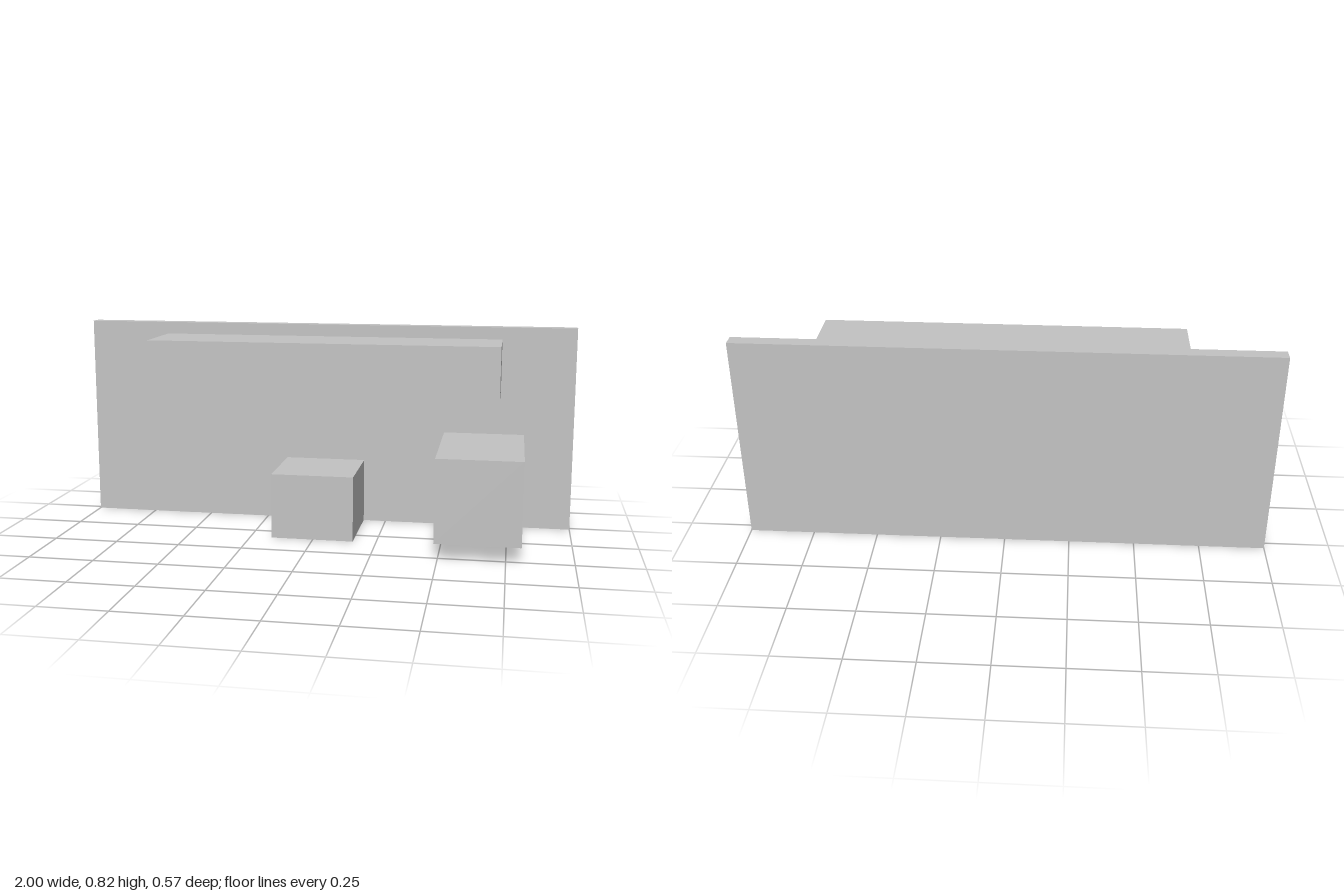
import * as THREE from 'three';

const grey = new THREE.MeshStandardMaterial({ color: 0xc3c3c3 });
grey.name = 'light grey';

// Box given by its extents along each axis
function block(name, [x0, x1], [y0, y1], [z0, z1]) {
  const mesh = new THREE.Mesh(new THREE.BoxGeometry(x1 - x0, y1 - y0, z1 - z0), grey);
  mesh.position.set((x0 + x1) / 2, (y0 + y1) / 2, (z0 + z1) / 2);
  mesh.name = name;
  return mesh;
}

export function createModel() {
  const group = new THREE.Group();
  group.name = 'wallPanelWithBlocks';
  const wallFront = -0.232;

  group.add(
    // Upright back panel
    block('backPanel', [-1, 1], [0, 0.816], [-0.283, wallFront]),
    // Long beam near the top
    block('upperBeam', [-0.672, 0.709], [0.56, 0.768], [wallFront, 0.043]),
    // Block standing on the ground
    block('lowerBlock', [-0.165, 0.159], [0, 0.257], [wallFront, 0.09]),
    // Deep block raised off the ground
    block('sideBlock', [0.486, 0.806], [0.065, 0.385], [wallFront, 0.283]),
  );
  return group;
}
